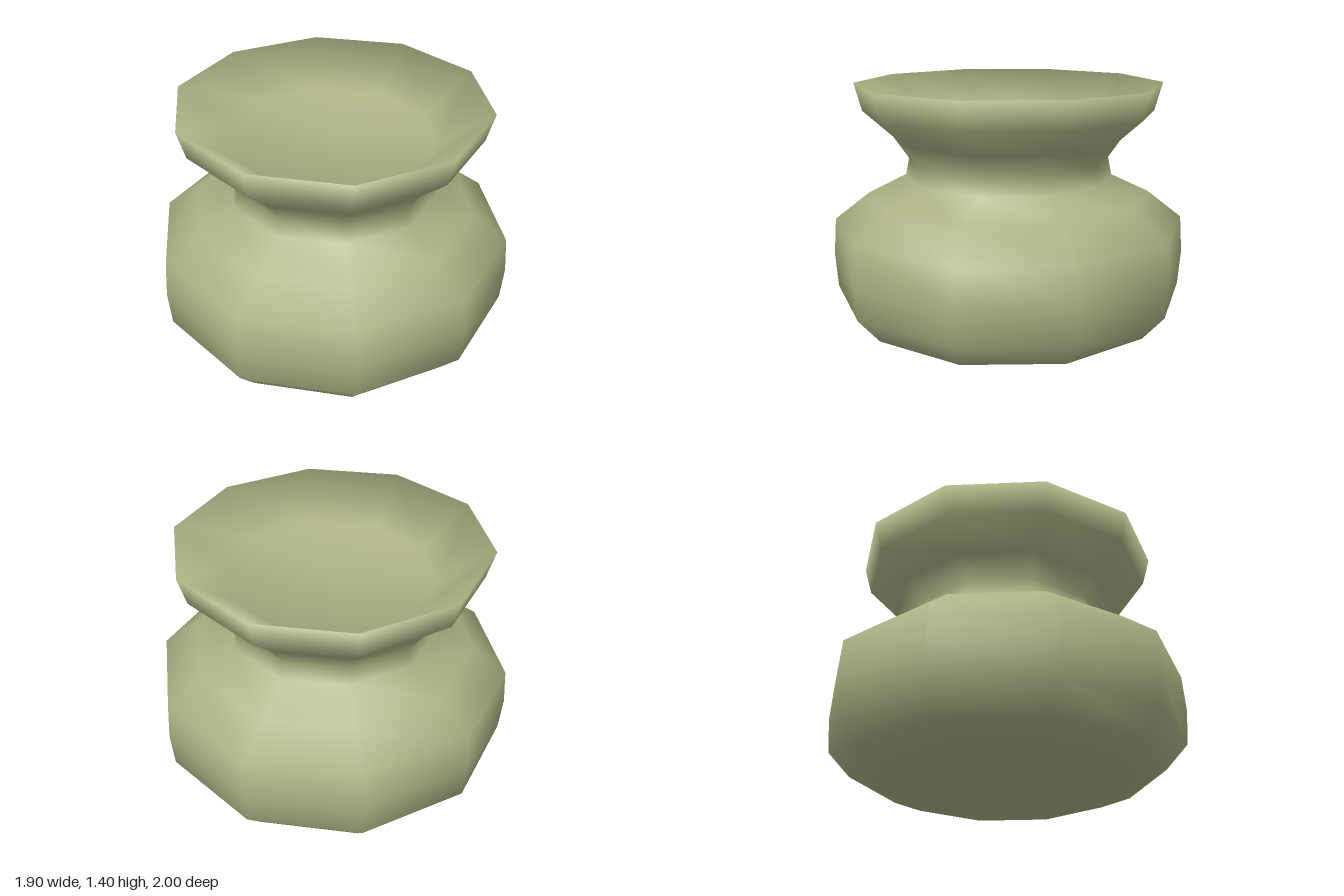
import * as THREE from 'three';

const SIDES = 10;

// Smooth normals: adjoining facets weighted by their corner angle at each profile point
function profileNormals(profile) {
  const sin = Math.sin(Math.PI / SIDES), cos = Math.cos(Math.PI / SIDES);
  return profile.map((p, j) => {
    const sum = new THREE.Vector2();
    for (const k of [j - 1, j + 1]) {
      const q = profile[k];
      if (!q) continue;
      const dir = Math.sign(k - j);
      const facet = new THREE.Vector2((q.y - p.y) * dir, (p.x - q.x) * cos * dir).normalize();
      facet.x *= cos;
      sum.addScaledVector(facet, Math.acos(sin * (p.x - q.x) / p.distanceTo(q)));
    }
    return sum.normalize();
  });
}

function turnedPot(points) {
  const profile = points.map(([r, y]) => new THREE.Vector2(r, y));
  const normals = profileNormals(profile);
  const geometry = new THREE.LatheGeometry(profile, SIDES);
  for (let i = 0; i <= SIDES; i++) {
    const a = (i / SIDES) * Math.PI * 2;
    normals.forEach((n, j) => {
      geometry.attributes.normal.setXYZ(i * profile.length + j, n.x * Math.sin(a), n.y, n.x * Math.cos(a));
    });
  }
  return geometry;
}

export function createModel() {
  const group = new THREE.Group();
  const clay = new THREE.MeshStandardMaterial({ color: 0xadb284 });
  clay.name = 'sageClay';

  // From the base centre, up the belly, neck and lip, then down into the shallow dish
  const pot = new THREE.Mesh(turnedPot([
    [0, 0], [0.645, 0], [0.86, 0.088], [0.985, 0.23], [1, 0.425], [0.985, 0.63],
    [0.79, 0.782], [0.58, 0.88], [0.56, 0.98], [0.645, 1.1], [0.812, 1.245], [0.855, 1.4],
    [0.57, 1.19], [0, 1.19],
  ]), clay);
  pot.name = 'pot';
  group.add(pot);
  return group;
}
